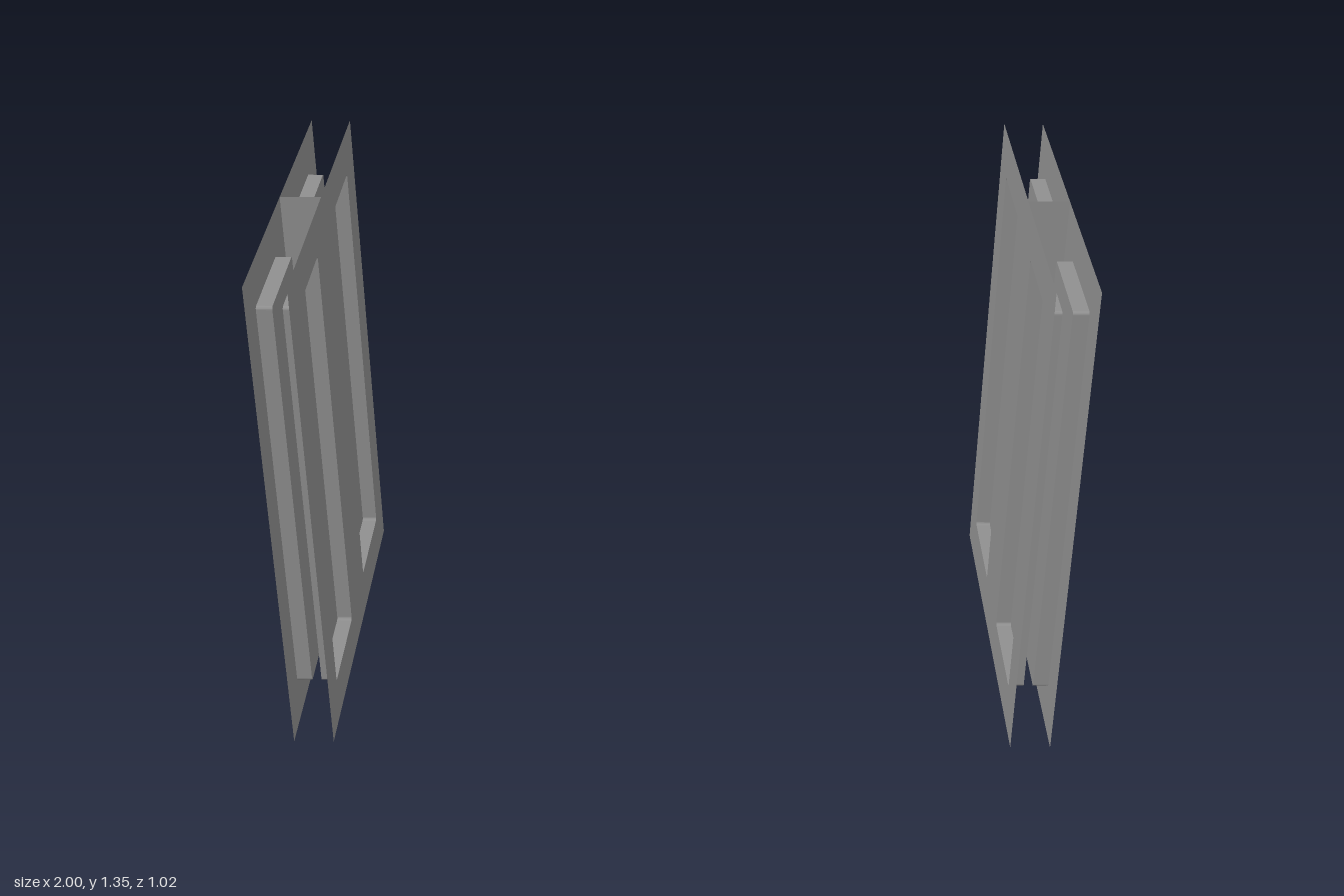
import * as THREE from 'three';

const W = 1.016, H = 1.345;      // leaf size
const GAP = 0.105, DEPTH = 0.04; // distance between skins, recess depth
const R = 0.008;                 // recess corner radius

const grey = new THREE.MeshStandardMaterial({ color: 0x909090, side: THREE.DoubleSide });
grey.name = 'grey';

// Rounded rectangle, traced anticlockwise
function roundedRect(path, x0, y0, x1, y1, r) {
  path.moveTo(x0 + r, y0);
  path.lineTo(x1 - r, y0);
  path.absarc(x1 - r, y0 + r, r, -Math.PI / 2, 0);
  path.lineTo(x1, y1 - r);
  path.absarc(x1 - r, y1 - r, r, 0, Math.PI / 2);
  path.lineTo(x0 + r, y1);
  path.absarc(x0 + r, y1 - r, r, Math.PI / 2, Math.PI);
  path.lineTo(x0, y0 + r);
  path.absarc(x0 + r, y0 + r, r, Math.PI, Math.PI * 1.5);
  return path;
}

function part(geometry, name) {
  const mesh = new THREE.Mesh(geometry, grey);
  mesh.name = name;
  return mesh;
}

// Side walls of a recess, running from z = 0 back to z = -DEPTH
function recessWalls(outline) {
  const pts = outline.getPoints(4), pos = [];
  pts.forEach((a, i) => {
    const b = pts[(i + 1) % pts.length];
    if (a.distanceTo(b) < 1e-6) return;
    pos.push(a.x, a.y, 0, b.x, b.y, -DEPTH, a.x, a.y, -DEPTH);
    pos.push(a.x, a.y, 0, b.x, b.y, 0, b.x, b.y, -DEPTH);
  });
  const geometry = new THREE.BufferGeometry();
  geometry.setAttribute('position', new THREE.Float32BufferAttribute(pos, 3));
  geometry.computeVertexNormals();
  return geometry;
}

// One thin skin facing +z with two recessed panels
function createSkin() {
  const skin = new THREE.Group();
  skin.name = 'doorSkin';
  const sheet = new THREE.Shape();
  sheet.moveTo(-W / 2, 0);
  sheet.lineTo(W / 2, 0);
  sheet.lineTo(W / 2, H);
  sheet.lineTo(-W / 2, H);
  sheet.closePath();
  for (const x0 of [-0.395, 0.113]) {
    const outline = roundedRect(new THREE.Shape(), x0, 0.115, x0 + 0.282, 1.235, R);
    sheet.holes.push(roundedRect(new THREE.Path(), x0, 0.115, x0 + 0.282, 1.235, R));
    const panel = part(new THREE.ShapeGeometry(outline, 4), 'recessedPanel');
    panel.position.z = -DEPTH;
    skin.add(panel, part(recessWalls(outline), 'recessWalls'));
  }
  skin.add(part(new THREE.ShapeGeometry(sheet, 4), 'sheet'));
  return skin;
}

export function createModel() {
  const model = new THREE.Group();
  model.name = 'doorPair';
  for (const side of [-1, 1]) {
    const door = new THREE.Group();
    door.name = side > 0 ? 'leftDoor' : 'rightDoor';
    door.position.x = side * (1 - GAP / 2);
    // Outer and inner skins, back to back
    for (const dir of [-1, 1]) {
      const skin = createSkin();
      skin.rotation.y = dir * Math.PI / 2;
      skin.position.x = dir * GAP / 2;
      door.add(skin);
    }
    // Central web joining the skins
    const web = part(new THREE.PlaneGeometry(GAP, H), 'centreWeb');
    web.position.y = H / 2;
    door.add(web);
    model.add(door);
  }
  return model;
}
